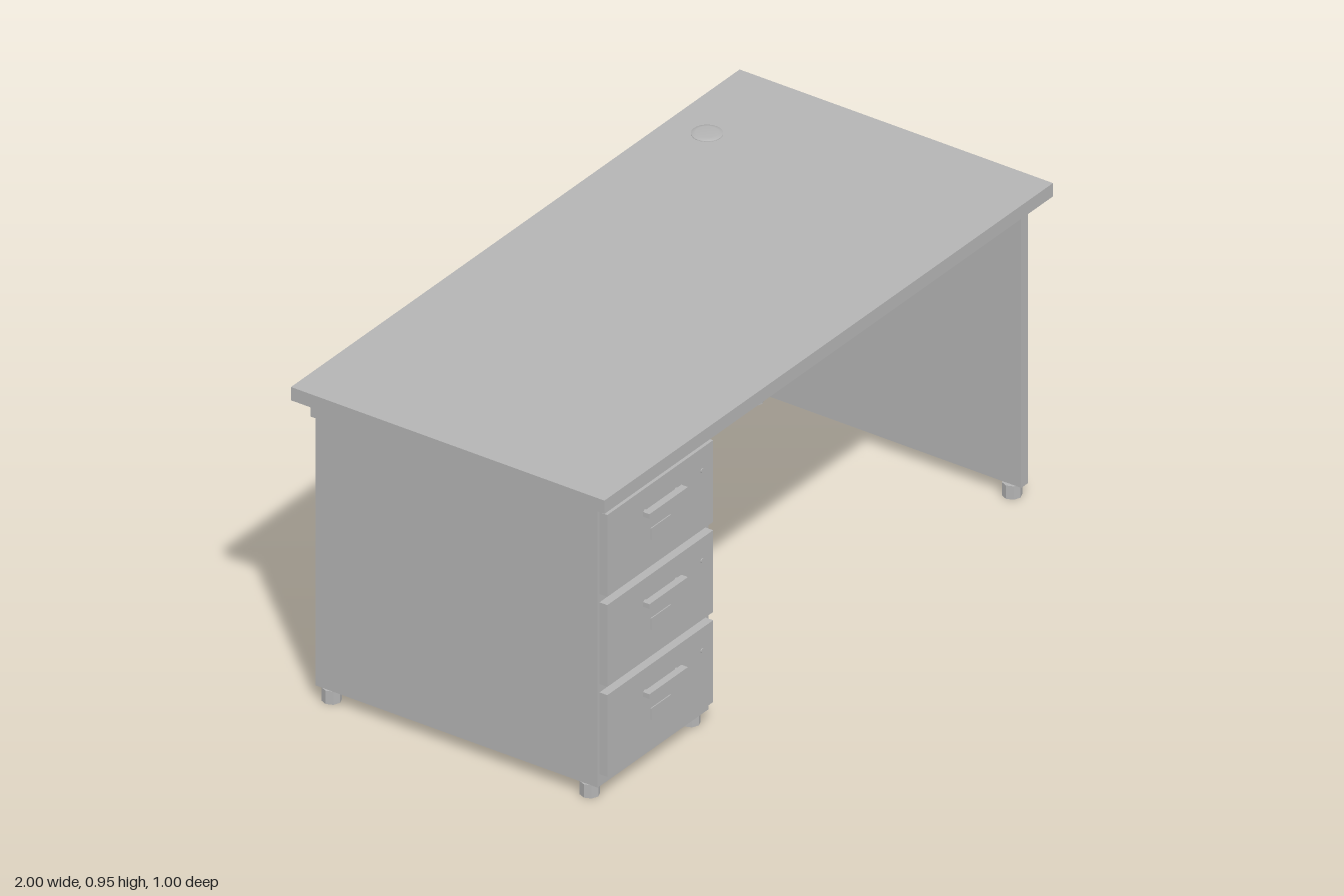
import * as THREE from 'three';

export function createModel() {
  const desk = new THREE.Group();
  desk.name = 'desk';
  const grey = new THREE.MeshStandardMaterial({ color: 0xb4b4b4 });
  grey.name = 'plain grey';

  const add = (parent, name, geometry, x = 0, y = 0, z = 0) => {
    const mesh = new THREE.Mesh(geometry, grey);
    mesh.name = name;
    mesh.position.set(x, y, z);
    parent.add(mesh);
    return mesh;
  };
  // Box given by its minimum and maximum on each axis
  const box = (parent, name, x0, x1, y0, y1, z0, z1) =>
    add(parent, name, new THREE.BoxGeometry(x1 - x0, y1 - y0, z1 - z0),
      (x0 + x1) / 2, (y0 + y1) / 2, (z0 + z1) / 2);

  // Worktop and its supports
  box(desk, 'worktop', -1, 1, 0.9, 0.94, -0.5, 0.5);
  box(desk, 'pedestal', -0.96, -0.467, 0.04, 0.9, -0.45, 0.45);
  box(desk, 'sidePanel', 0.928, 0.958, 0.04, 0.9, -0.45, 0.45);

  // Panel and rails across the knee space
  box(desk, 'modestyPanel', -0.955, 0.93, 0.375, 0.9, -0.454, -0.442);
  box(desk, 'modestyLip', -0.467, 0.928, 0.366, 0.394, -0.442, -0.43);
  box(desk, 'backRail', -0.955, 0.945, 0.84, 0.9, -0.47, -0.454);
  box(desk, 'frontApron', -0.467, 0.928, 0.843, 0.9, 0.42, 0.44);

  // Three drawers, each with a bar handle, label plate and lock
  for (const top of [0.865, 0.594, 0.323]) {
    const drawer = new THREE.Group();
    drawer.name = 'drawer';
    drawer.position.y = top;
    desk.add(drawer);
    box(drawer, 'drawerFront', -0.952, -0.48, -0.246, 0, 0.45, 0.475);
    box(drawer, 'handleBar', -0.802, -0.63, -0.074, -0.06, 0.481, 0.502);
    for (const x of [-0.785, -0.647]) {
      const post = add(drawer, 'handlePost', new THREE.CylinderGeometry(0.005, 0.005, 0.008, 10), x, -0.067, 0.478);
      post.rotation.x = Math.PI / 2;
    }
    box(drawer, 'labelPlate', -0.76, -0.672, -0.165, -0.131, 0.475, 0.478);
    const lock = add(drawer, 'lock', new THREE.CylinderGeometry(0.007, 0.007, 0.003, 12), -0.53, -0.067, 0.4765);
    lock.rotation.x = Math.PI / 2;
  }

  // Short faceted feet
  const footShape = new THREE.CylinderGeometry(0.027, 0.027, 0.04, 8).toNonIndexed();
  footShape.computeVertexNormals();
  for (const x of [-0.94, -0.492, 0.942]) {
    for (const z of [-0.413, 0.411]) add(desk, 'foot', footShape, x, 0.02, z);
  }

  // Cable cover set into the worktop
  const profile = [[0.042, 0], [0.042, 0.003], [0.03, 0.006], [0, 0.006]]
    .map(([r, y]) => new THREE.Vector2(r, y));
  add(desk, 'cableCover', new THREE.LatheGeometry(profile, 24), 0.683, 0.94, -0.377);

  return desk;
}
